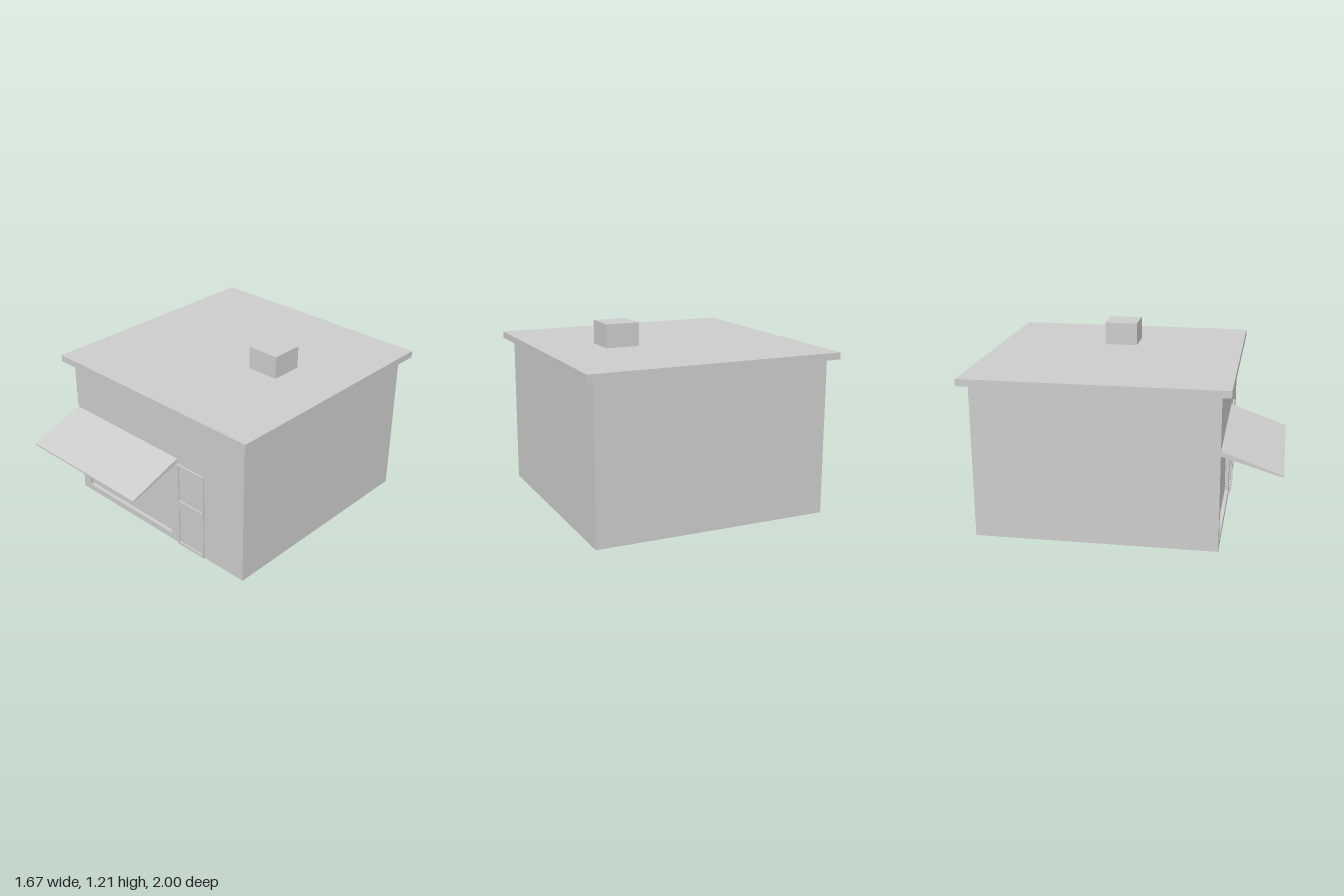
import * as THREE from 'three';

const material = new THREE.MeshStandardMaterial({ color: 0xcccccc, flatShading: true });

function addMesh(group, name, geometry) {
  const mesh = new THREE.Mesh(geometry, material);
  mesh.name = name;
  group.add(mesh);
  return mesh;
}

// Box given by its limits on each axis
function block(group, name, [x0, x1], [y0, y1], [z0, z1]) {
  const mesh = addMesh(group, name, new THREE.BoxGeometry(x1 - x0, y1 - y0, z1 - z0));
  mesh.position.set((x0 + x1) / 2, (y0 + y1) / 2, (z0 + z1) / 2);
}

function trace(path, x0, x1, y0, y1) {
  path.moveTo(x0, y0).lineTo(x1, y0).lineTo(x1, y1).lineTo(x0, y1).closePath();
  return path;
}

// Upright slab with rectangular openings, each [x0, x1, y0, y1]
function panel(group, name, outline, openings, z0, z1) {
  const shape = trace(new THREE.Shape(), ...outline);
  for (const o of openings) shape.holes.push(trace(new THREE.Path(), ...o));
  const geometry = new THREE.ExtrudeGeometry(shape, { depth: z1 - z0, bevelEnabled: false });
  addMesh(group, name, geometry).position.z = z0;
}

export function createModel() {
  const shop = new THREE.Group();
  shop.name = 'shop';

  // Building, with the shop window set into the front wall
  block(shop, 'building', [-0.78, 0.775], [0, 1.012], [-0.94, 0.595]);
  panel(shop, 'frontWall', [-0.78, 0.775, 0, 1.012], [[-0.71, 0.13, 0.045, 0.6]], 0.595, 0.62);

  // Overhanging flat roof and chimney
  block(shop, 'roof', [-0.838, 0.836], [1.012, 1.057], [-1, 0.68]);
  block(shop, 'chimney', [0.205, 0.43], [1.057, 1.21], [-0.272, -0.05]);

  // Door with two sunken panels
  panel(shop, 'door', [0.205, 0.443, 0, 0.627],
    [[0.22, 0.43, 0.02, 0.293], [0.22, 0.43, 0.35, 0.61]], 0.62, 0.631);

  // Sloping awning, its side profile swept across the window
  const profile = new THREE.Shape([
    [0.62, 0.63], [1, 0.515], [1, 0.527], [0.62, 0.662],
  ].map(([z, y]) => new THREE.Vector2(-z, y)));
  const awning = new THREE.ExtrudeGeometry(profile, { depth: 0.985, bevelEnabled: false });
  awning.rotateY(Math.PI / 2);
  addMesh(shop, 'awning', awning).position.x = -0.78;

  return shop;
}
